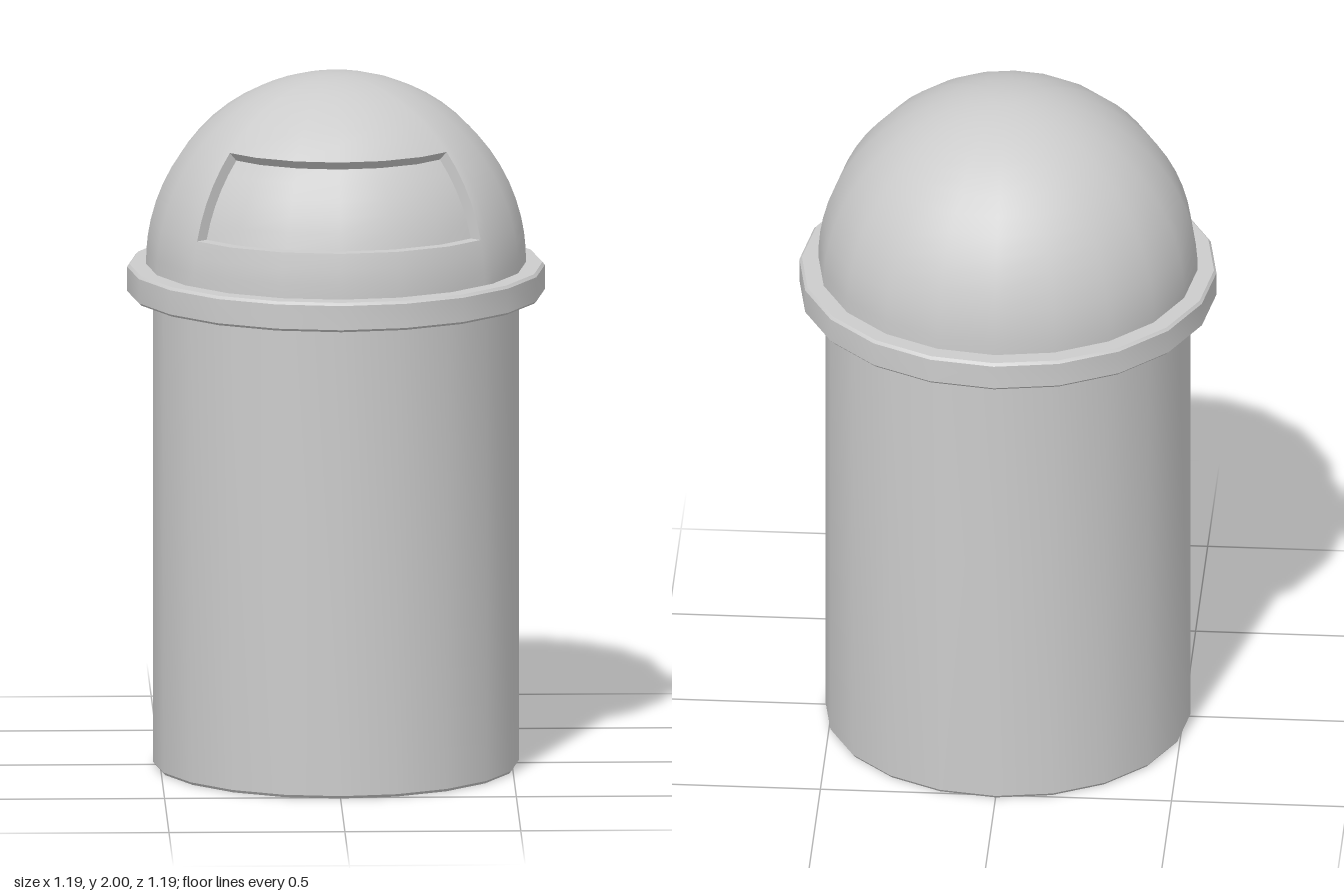
import * as THREE from 'three';
import { mergeVertices, mergeGeometries, toCreasedNormals } from 'three/addons/utils/BufferGeometryUtils.js';

const SIDES = 20, STEP = 18, EDGE = 50.5; // degrees per side, half angle of the opening
const R = 0.54, INNER = 0.505, CY = 1.46; // dome radius, flap radius, dome centre height
const mat = new THREE.MeshStandardMaterial({ color: 0xcccccc });

function add(group, name, geometry, crease = 0.6) {
  const mesh = new THREE.Mesh(toCreasedNormals(geometry, crease), mat);
  mesh.name = name;
  group.add(mesh);
}

const lathe = (pts) => new THREE.LatheGeometry(pts.map(([r, y]) => new THREE.Vector2(r, y)), SIDES);

// point at radius r and height y, kept on the flat sides of the 20-gon
function ringPoint(deg, r, y) {
  const rad = THREE.MathUtils.degToRad;
  const off = ((deg % STEP) + STEP) % STEP - STEP / 2;
  const k = r * Math.cos(rad(STEP / 2)) / Math.cos(rad(off));
  return [k * Math.sin(rad(deg)), y, k * Math.cos(rad(deg))];
}

// surface through rows of points, facing outward when rows run up and columns run right
function sheet(rows) {
  const n = rows[0].length, index = [];
  for (let j = 0; j < rows.length - 1; j++) {
    for (let i = 0; i < n - 1; i++) {
      const a = j * n + i, b = a + 1, c = a + n, d = c + 1;
      index.push(a, b, d, a, d, c);
    }
  }
  const g = new THREE.BufferGeometry();
  g.setAttribute('position', new THREE.Float32BufferAttribute(rows.flat(2), 3));
  g.setIndex(index);
  return g;
}

const sweep = (profile, angles) => sheet(profile.map(([r, y]) => angles.map((a) => ringPoint(a, r, y))));

// points along a sphere between two heights
function arc(radius, y0, y1, n) {
  const angle = (y) => Math.asin(THREE.MathUtils.clamp((y - CY) / radius, -1, 1));
  return Array.from({ length: n + 1 }, (_, i) => {
    const t = THREE.MathUtils.lerp(angle(y0), angle(y1), i / n);
    return [Math.max(0, radius * Math.cos(t)), CY + radius * Math.sin(t)];
  });
}

export function createModel() {
  const bin = new THREE.Group();
  bin.name = 'domeTopBin';

  // Straight drum with a small chamfer at the foot
  add(bin, 'body', lathe([[0, 0], [0.514, 0], [0.52, 0.008], [0.52, 1.38], [0, 1.38]]));

  // Projecting collar below the dome
  add(bin, 'rim', lathe([
    [0.5, 1.365], [0.587, 1.365], [0.594, 1.372], [0.594, 1.442], [0.587, 1.45], [0.5, 1.45],
  ]));

  // Dome shell: full bands below and above, open at the front between them
  const front = [-EDGE, -36, -18, 0, 18, 36, EDGE];
  const back = [EDGE];
  for (let a = 54; a <= 306; a += STEP) back.push(a);
  back.push(360 - EDGE);
  const around = [...front, ...back.slice(1)];
  const opening = arc(R, 1.58, 1.82, 5);
  const shell = [
    sweep(arc(R, 1.445, 1.58, 3), around),
    sweep(opening, back),
    sweep(arc(R, 1.82, 2, 8), around),
  ];
  add(bin, 'dome', mergeVertices(mergeGeometries(shell), 1e-4));

  // Recessed flap with its ledge and top reveal
  const flap = arc(INNER, 1.58, 1.795, 5);
  add(bin, 'flap', sweep([opening[0], ...flap, opening[5]], front));

  // Side reveals of the opening
  for (const s of [1, -1]) {
    const rows = flap.map((p, i) => {
      const pair = [ringPoint(s * EDGE, ...p), ringPoint(s * EDGE, ...opening[i])];
      return s > 0 ? pair : pair.reverse();
    });
    add(bin, s > 0 ? 'leftReveal' : 'rightReveal', sheet(rows));
  }
  return bin;
}
